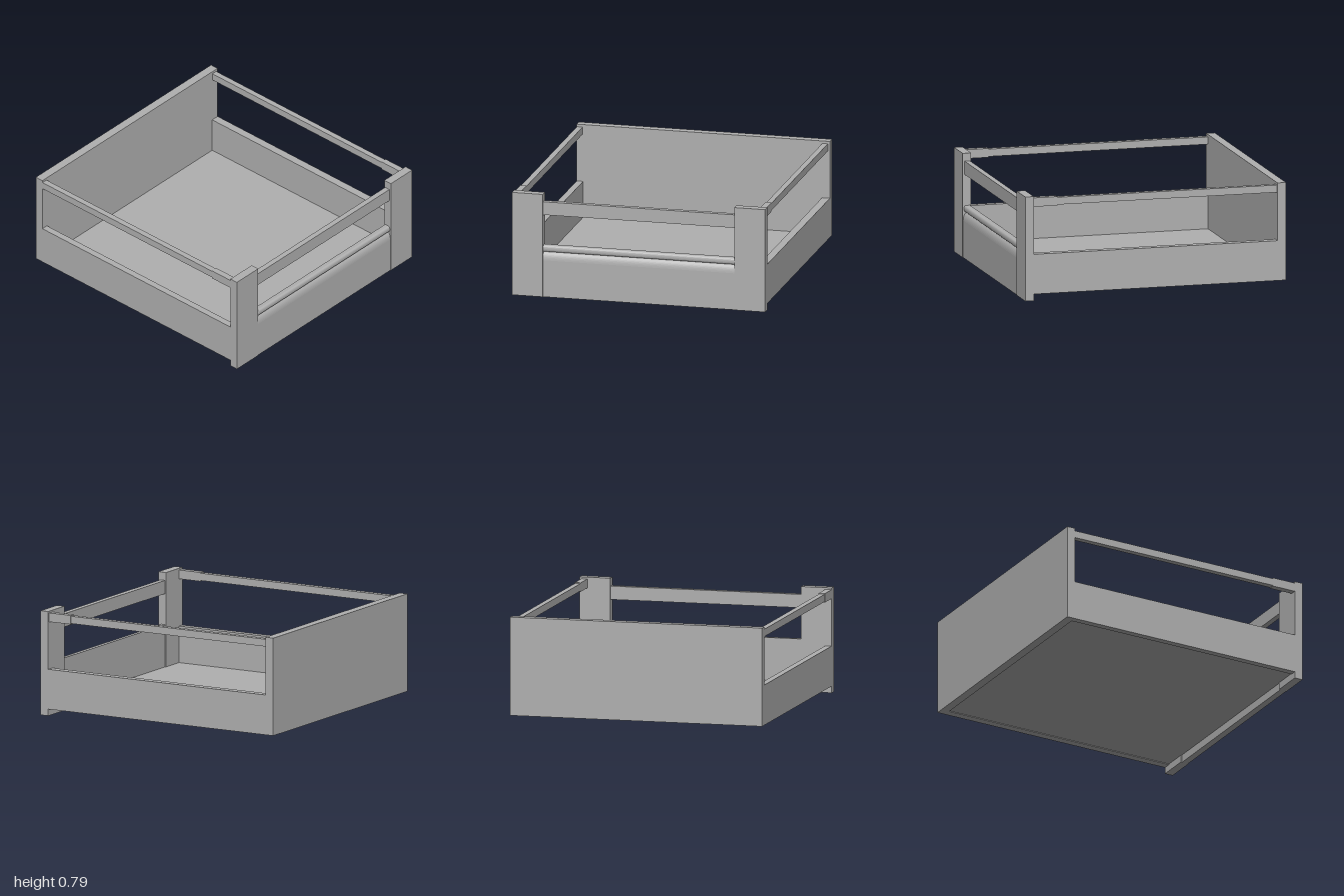
import * as THREE from 'three';

// Open drawer: posts, low front with grip, side walls, railings, floor and back
export function createModel() {
  const group = new THREE.Group();
  const grey = new THREE.MeshStandardMaterial({ color: 0xb0b0b0 });
  grey.name = 'grey metal';

  // Box given by its limits on each axis
  const box = (name, [x0, x1], [y0, y1], [z0, z1]) => {
    const mesh = new THREE.Mesh(new THREE.BoxGeometry(x1 - x0, y1 - y0, z1 - z0), grey);
    mesh.position.set((x0 + x1) / 2, (y0 + y1) / 2, (z0 + z1) / 2);
    mesh.name = name;
    group.add(mesh);
  };

  // Profile in (z, y) extruded along x between the posts
  const spanBar = (name, shape) => {
    const width = 1.46;
    const geo = new THREE.ExtrudeGeometry(shape, { depth: width, bevelEnabled: false, curveSegments: 8 });
    geo.rotateY(-Math.PI / 2); // profile x becomes z, depth runs to -x
    geo.translate(width / 2, 0, 0);
    const mesh = new THREE.Mesh(geo, grey);
    mesh.name = name;
    group.add(mesh);
  };

  box('floor', [-0.915, 0.905], [0.055, 0.075], [-0.935, 0.94]);
  box('backPanel', [-0.965, 0.965], [0.05, 0.785], [-1, -0.935]);

  // Corner posts
  box('rightPost', [-0.965, -0.73], [0, 0.785], [0.935, 1]);
  box('leftPost', [0.73, 0.965], [0, 0.785], [0.935, 1]);

  // Side walls
  box('rightWall', [-0.965, -0.915], [0.05, 0.35], [-0.935, 0.935]);
  box('leftWall', [0.905, 0.965], [0.05, 0.35], [-0.935, 0.935]);

  // Side railings with their front sockets
  for (const [side, x0, x1] of [['right', -0.965, -0.917], ['left', 0.905, 0.951]]) {
    box(side + 'Rail', [x0 + 0.002, x1 - 0.002], [0.711, 0.766], [-0.935, 0.755]);
    box(side + 'RailSocket', [x0, x1], [0.705, 0.772], [0.75, 0.935]);
  }

  // Front panel, its upper edge curving back
  const panel = new THREE.Shape();
  panel.moveTo(0.945, 0);
  panel.lineTo(0.996, 0);
  panel.lineTo(0.996, 0.28);
  panel.quadraticCurveTo(0.994, 0.325, 0.97, 0.342);
  panel.lineTo(0.945, 0.342);
  spanBar('frontPanel', panel);

  // Rounded grip along the top of the panel
  const grip = new THREE.Shape();
  grip.moveTo(0.945, 0.342);
  grip.lineTo(0.975, 0.342);
  grip.quadraticCurveTo(0.99, 0.345, 0.99, 0.366);
  grip.quadraticCurveTo(0.99, 0.388, 0.975, 0.392);
  grip.lineTo(0.945, 0.392);
  spanBar('frontGrip', grip);

  box('frontCrossbar', [-0.73, 0.73], [0.625, 0.725], [0.943, 0.985]);
  return group;
}
